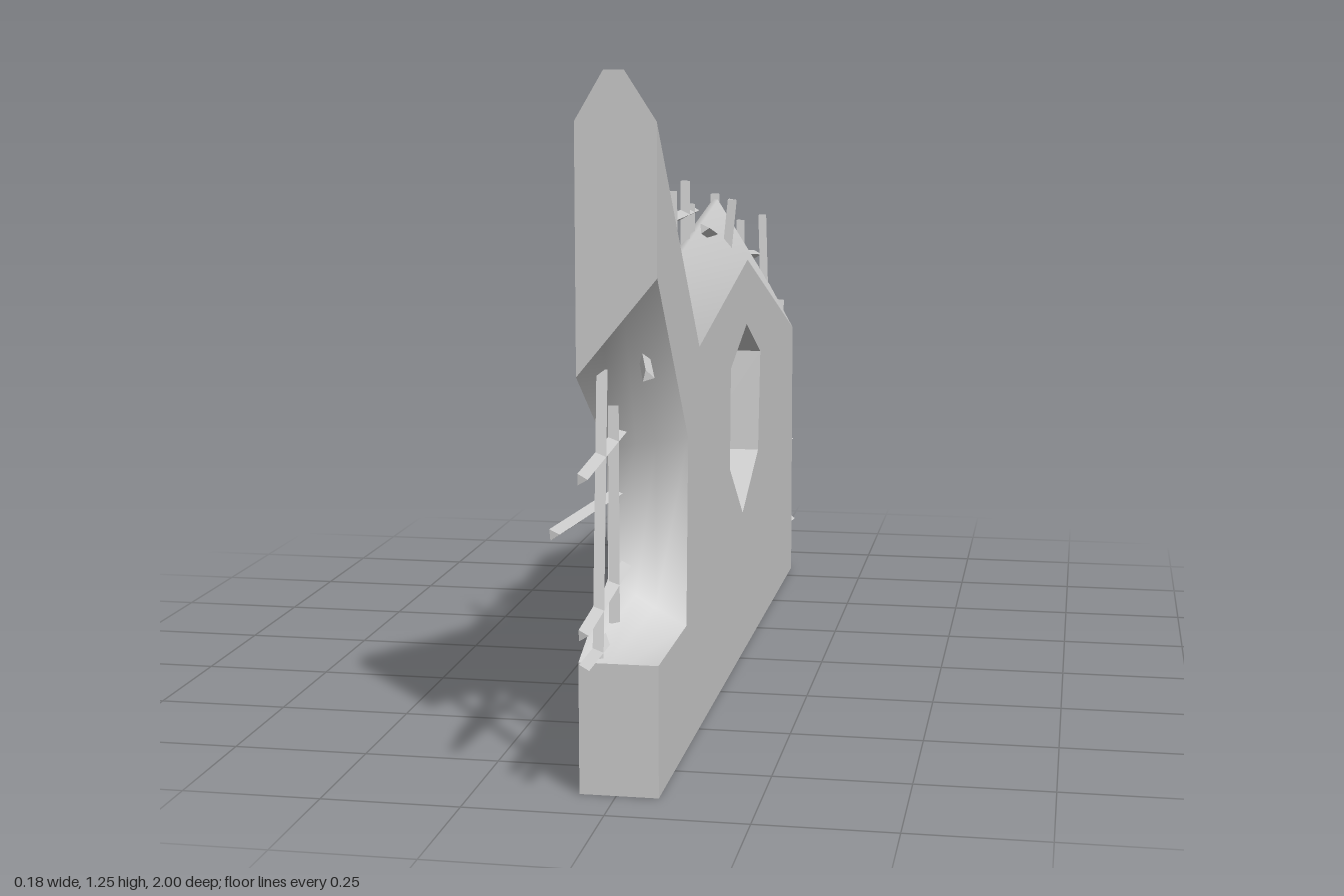
import * as THREE from 'three';
import { toCreasedNormals } from 'three/addons/utils/BufferGeometryUtils.js';

const V = (x, y, z) => new THREE.Vector3(x, y, z);

// Side outlines as [z, y]: base, front notch, then the broken top from spire to back end
const RIGHT = -0.065, LEFT = 0.075;
const lowRight = [[-0.83, 0], [0.9, 0], [0.9, 0.235], [0.655, 0.325], [0.66, 0.565], [0.9, 0.73]];
const lowLeft = [[-0.83, 0], [0.9, 0], [0.9, 0.235], [0.63, 0.235], [0.61, 0.58], [0.9, 0.9]];
// A third number in a top point overrides the x of its layer
const layers = [
  { x: RIGHT, top: [[0.9, 1.16], [0.28, 0.81], [-0.28, 0.89], [-0.83, 0.62]] },
  { x: -0.015, top: [[0.9, 1.245], [0.33, 0.865], [-0.2, 0.955], [-0.83, 0.7]] },
  { x: 0.02, top: [[0.9, 1.245], [0.37, 0.865, 0], [-0.17, 0.955, 0], [-0.83, 0.7]] },
  { x: LEFT, top: [[0.9, 1.16], [0.49, 0.73], [-0.1, 0.835], [-0.83, 0.6]] },
];
const hole = [[0.12, 0.635], [-0.09, 0.7], [-0.29, 0.615], [-0.26, 0.4], [-0.04, 0.305], [0.13, 0.43]];

// Surface from a list of corners, three per triangle
function surface(corners, crease) {
  const geo = new THREE.BufferGeometry().setFromPoints(corners);
  return toCreasedNormals(geo, crease);
}

// Corners of the quads between two rings, for the listed edges only
function strip(a, b, edges) {
  return edges.flatMap(i => {
    const j = (i + 1) % a.length;
    return [a[i], b[i], b[j], a[i], b[j], a[j]];
  });
}

const ring = (x, pts) => pts.map(([z, y, px = x]) => V(px, y, z));

// Outline of each layer, blended from one side of the wall to the other
const outlines = layers.map(({ x, top }) => {
  const t = (x - RIGHT) / (LEFT - RIGHT);
  const low = lowRight.map((p, i) => p.map((v, k) => v + (lowLeft[i][k] - v) * t));
  return [...low, ...top];
});
const rings = outlines.map((o, i) => ring(layers[i].x, o));
const rim = edges => [0, 1, 2].flatMap(i => strip(rings[i], rings[i + 1], edges));

// Broad side face with the hole cut out
function sideFace(k) {
  const toVec = p => new THREE.Vector2(p[0], p[1]);
  const shape = new THREE.Shape(outlines[k].map(toVec));
  shape.holes.push(new THREE.Path(hole.map(toVec)));
  const g = new THREE.ShapeGeometry(shape).toNonIndexed().attributes.position;
  const corners = [];
  for (let i = 0; i < g.count; i++) corners.push(V(layers[k].x, g.getY(i), g.getX(i)));
  return k ? corners.reverse() : corners;
}

const wallParts = {
  rightFace: surface(sideFace(0), 0.1),
  leftFace: surface(sideFace(3), 0.1),
  baseAndEnds: surface(rim([0, 1, 5, 9]), 0.1),
  frontNotch: surface(rim([2, 3, 4]), Math.PI),
  brokenTop: surface(rim([6, 7, 8]), Math.PI),
  holeLining: surface(strip(ring(LEFT, hole), ring(RIGHT, hole), [0, 1, 2, 3, 4, 5]), 0.1),
};

// Each rod is [x, y, z, x, y, z] from end to end
const rods = {
  notchRod: [
    [-0.035, 0.26, 0.75, -0.035, 0.68, 0.75],
    [-0.035, 0.24, 0.887, -0.035, 0.74, 0.84],
    [-0.035, 0.605, 0.62, -0.035, 0.575, 1],
    [-0.045, 0.48, 0.6, -0.083, 0.48, 1],
    [-0.035, 0.35, 0.62, -0.035, 0.31, 1],
    [-0.035, 0.25, 0.79, -0.035, 0.25, 1],
    [0.03, 0.75, 0.79, 0.078, 0.75, 1],
  ],
  holeRod: [
    [-0.02, 0.29, -0.05, 0.048, 0.965, -0.05],
    [-0.015, 0.4, 0.09, -0.015, 0.965, 0.09],
    [-0.015, 0.635, 0.15, -0.015, 0.635, -0.3],
    [-0.015, 0.51, 0.15, -0.015, 0.51, -0.3],
    [-0.015, 0.4, 0.1, -0.015, 0.4, -0.28],
    [-0.015, 0.56, 0.15, -0.015, 0.56, 0.04],
    [-0.015, 0.45, 0.15, -0.015, 0.45, 0.04],
  ],
  topRod: [
    [0.018, 0.8, 0.45, 0.014, 1.015, 0.45],
    [-0.035, 0.8, 0.31, -0.035, 1.015, 0.31],
    [-0.015, 0.8, 0.15, -0.015, 1.015, 0.15],
    [-0.015, 0.85, -0.21, -0.015, 0.965, -0.21],
    [-0.015, 0.75, -0.41, -0.015, 0.88, -0.41],
    [-0.015, 0.7, -0.57, -0.015, 0.88, -0.57],
    [0.018, 0.68, -0.73, 0.012, 0.88, -0.73],
    [-0.015, 0.948, 0.48, -0.015, 0.948, 0.04],
    [0.033, 0.925, 0.2, 0.015, 0.895, -0.01],
    [-0.015, 0.802, -0.57, -0.015, 0.775, -0.84],
  ],
  backRod: [
    [0.025, 0.09, -0.78, 0.05, 0.09, -1],
    [-0.015, 0.215, -0.78, -0.015, 0.22, -1],
    [0.02, 0.307, -0.78, 0.045, 0.295, -1],
    [-0.045, 0.48, -0.78, -0.067, 0.497, -1],
    [-0.015, 0.555, -0.78, -0.015, 0.54, -1],
    [0.005, 0.25, -0.832, 0.035, 0.66, -0.888],
  ],
};

export function createModel() {
  const model = new THREE.Group();
  const mat = new THREE.MeshStandardMaterial({ color: 0xcccccc });
  const rodMat = new THREE.MeshStandardMaterial({ color: 0xcccccc, flatShading: true });

  // Broken wall
  const wall = new THREE.Group();
  wall.name = 'brokenWall';
  for (const [name, geo] of Object.entries(wallParts)) {
    const part = new THREE.Mesh(geo, mat);
    part.name = name;
    wall.add(part);
  }
  model.add(wall);

  // Three-sided reinforcing rods, one edge turned to the left
  for (const [name, list] of Object.entries(rods)) {
    const group = new THREE.Group();
    group.name = name + 's';
    for (const r of list) {
      const a = V(...r.slice(0, 3)), b = V(...r.slice(3)), dir = b.clone().sub(a);
      const geo = new THREE.CylinderGeometry(0.0115, 0.0115, dir.length(), 3, 1, false, Math.PI / 2);
      const rod = new THREE.Mesh(geo, rodMat);
      rod.name = name;
      rod.position.copy(a).add(b).multiplyScalar(0.5);
      rod.quaternion.setFromUnitVectors(V(0, 1, 0), dir.normalize());
      group.add(rod);
    }
    model.add(group);
  }
  return model;
}
